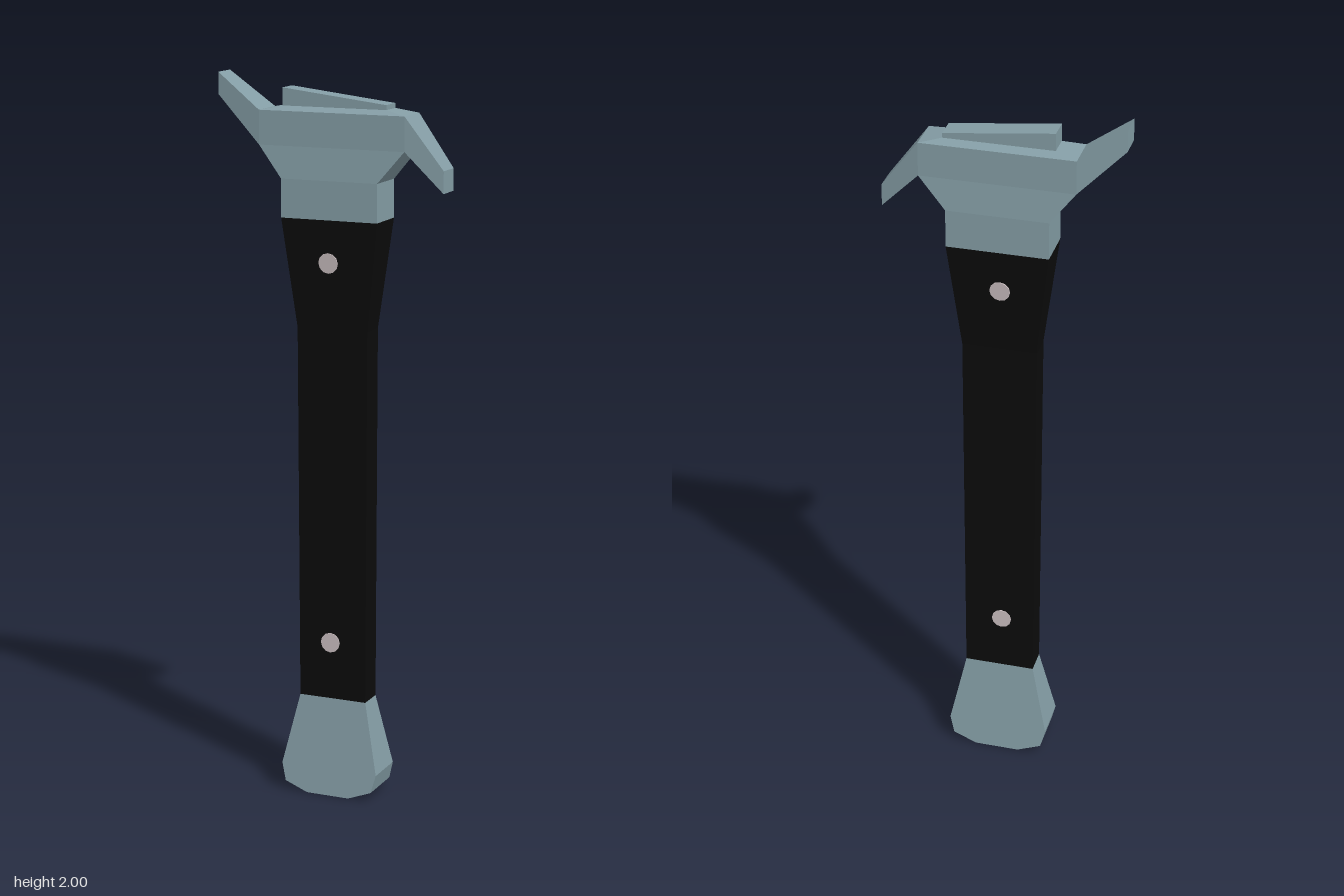
import * as THREE from 'three';

const metal = new THREE.MeshStandardMaterial({ color: 0x849da5 });
metal.name = 'blue grey metal';
const grip = new THREE.MeshStandardMaterial({ color: 0x0b0b0b });
grip.name = 'black grip';
const pin = new THREE.MeshStandardMaterial({ color: 0xcbbfc1 });
pin.name = 'pale rivet';

// Skin flat faces over a list of rings and close both ends
function loft(rings) {
  const pos = [];
  const tri = (...pts) => pts.forEach((p) => pos.push(...p));
  const n = rings[0].length;
  for (let k = 0; k < rings.length - 1; k++) {
    const r = rings[k], s = rings[k + 1];
    for (let i = 0; i < n; i++) {
      const j = (i + 1) % n;
      tri(r[i], r[j], s[j]);
      tri(r[i], s[j], s[i]);
    }
  }
  const first = rings[0], last = rings[rings.length - 1];
  for (let i = 1; i < n - 1; i++) {
    tri(first[0], first[i + 1], first[i]);
    tri(last[0], last[i], last[i + 1]);
  }
  const geo = new THREE.BufferGeometry();
  geo.setAttribute('position', new THREE.Float32BufferAttribute(pos, 3));
  geo.computeVertexNormals();
  return geo;
}

// Rectangle across y: left x, right x, half depth
const level = (y, x0, x1, d) => [[x0, y, d], [x1, y, d], [x1, y, -d], [x0, y, -d]];
// Rectangle across x: bottom y, top y, half depth
const station = (x, y0, y1, d) => [[x, y1, -d], [x, y1, d], [x, y0, d], [x, y0, -d]];

export function createModel() {
  const group = new THREE.Group();
  const add = (name, geo, mat) => {
    const mesh = new THREE.Mesh(geo, mat);
    mesh.name = name;
    group.add(mesh);
    return mesh;
  };

  // Pommel: bevelled outline that thickens towards the bottom
  const outline = [[-0.09, 0.275], [-0.135, 0.075], [-0.122, 0.025], [-0.055, 0],
    [0.07, 0], [0.137, 0.025], [0.15, 0.075], [0.107, 0.275]];
  const depth = (y) => 0.072 - (y / 0.275) * 0.035;
  add('pommel', loft([-1, 1].map((s) => outline.map(([x, y]) => [x, y, s * depth(y)]))), metal);

  // Grip flaring up to the collar
  add('grip', loft([
    level(0.275, -0.09, 0.107, 0.037),
    level(1.32, -0.095, 0.11, 0.037),
    level(1.62, -0.132, 0.146, 0.06),
  ]), grip);
  add('collar', loft([
    level(1.62, -0.132, 0.146, 0.06),
    level(1.725, -0.132, 0.146, 0.06),
  ]), metal);

  // Guard: sloped base, bar with one arm up and one down, shallow top
  add('guardBase', loft([
    level(1.725, -0.132, 0.146, 0.06),
    level(1.812, -0.2, 0.22, 0.052),
  ]), metal);
  add('guardBar', loft([
    station(-0.327, 1.94, 2.0, 0.036),
    station(-0.2, 1.812, 1.905, 0.052),
    station(0.22, 1.812, 1.905, 0.052),
    station(0.325, 1.705, 1.765, 0.036),
  ]), metal);
  add('guardTop', loft([
    level(1.905, -0.2, 0.22, 0.052),
    level(1.917, -0.14, 0.16, 0.031),
  ]), metal);
  add('topWedge', loft([
    station(-0.14, 1.91, 1.965, 0.031),
    station(0.16, 1.91, 1.93, 0.031),
  ]), metal);

  // Rivets on both faces, the upper pair following the flare
  for (const side of [1, -1]) {
    for (const [y, z, tilt] of [[0.437, 0.037, 0], [1.503, 0.051, 0.077]]) {
      const rivet = add('rivet', new THREE.CylinderGeometry(0.028, 0.028, 0.006, 12), pin);
      rivet.position.set(0.002, y, side * z);
      rivet.rotation.x = side * (Math.PI / 2 + tilt);
    }
  }
  return group;
}
